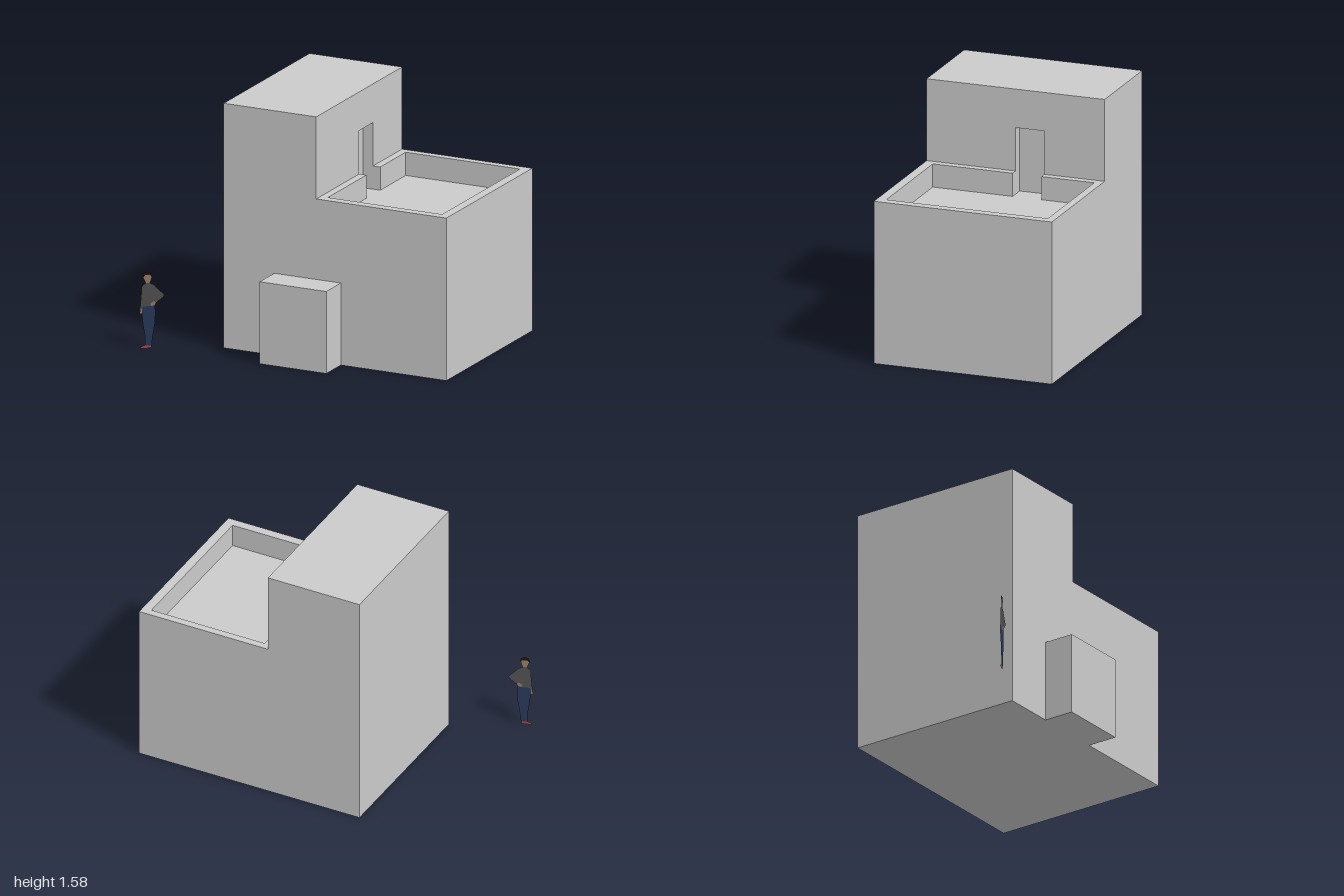
import * as THREE from 'three';

const grey = new THREE.MeshStandardMaterial({ color: 0xcccccc });

// Box given by its minimum and maximum corners
function block(name, [x0, y0, z0], [x1, y1, z1]) {
  const geometry = new THREE.BoxGeometry(x1 - x0, y1 - y0, z1 - z0);
  geometry.translate((x0 + x1) / 2, (y0 + y1) / 2, (z0 + z1) / 2);
  const mesh = new THREE.Mesh(geometry, grey);
  mesh.name = name;
  return mesh;
}

const shapeOf = (points) => new THREE.Shape(points.map(([a, b]) => new THREE.Vector2(a, b)));
const extrude = (points, depth) =>
  new THREE.ExtrudeGeometry(shapeOf(points), { depth, bevelEnabled: false });

// Flat figure for scale: outlines in hundredths of a unit, x from its edge and y from the ground
function createFigure() {
  const figure = new THREE.Group();
  figure.name = 'scaleFigure';
  const parts = [
    ['hair', 0x1c1512, [[2, 45.5], [2, 48], [3.4, 49.4], [5.8, 49.4], [7, 48], [6.9, 45.8], [6.2, 47.3], [3.2, 47.3]]],
    ['face', 0x9a7a62, [[2, 45.5], [3.2, 47.3], [6.2, 47.3], [6.9, 45.8], [6.4, 43.8], [5.8, 42.2], [3.4, 42.2], [2.6, 44]]],
    ['sweater', 0x505050, [[3.4, 42.2], [5.8, 42.2], [8.2, 41.2], [10.2, 38.8], [14, 35], [13.4, 33.4],
      [9.4, 29.6], [8, 30.6], [6, 28.8], [6.6, 27.4], [1.8, 27], [1.2, 25.5], [0.2, 26], [0.8, 33], [1.2, 40]]],
    ['hipHand', 0x9a7a62, [[8, 30.6], [9.4, 29.6], [8.6, 28], [6.6, 27.4], [6, 28.8]]],
    ['hangingHand', 0x9a7a62, [[0.2, 26], [1.2, 25.5], [1.2, 22.5], [0.5, 21.5], [0, 23]]],
    ['trousers', 0x27375a, [[1.8, 27], [6.6, 27.4], [8.6, 28], [9, 24], [8.6, 16], [7.4, 8], [6.8, 2],
      [3, 2], [3, 8], [1.8, 16], [1.2, 22.5], [1.2, 25.5]]],
    ['shoes', 0xa04a45, [[3, 2], [6.8, 2], [6.4, 0.4], [3.6, 0], [0.4, 0], [0.5, 1]]],
  ];
  for (const [name, color, points] of parts) {
    const geometry = new THREE.ShapeGeometry(shapeOf(points));
    geometry.scale(0.01, 0.01, 1);
    const material = new THREE.MeshStandardMaterial({ color, side: THREE.DoubleSide });
    const mesh = new THREE.Mesh(geometry, material);
    mesh.name = name;
    figure.add(mesh);
  }
  const turn = Math.atan(0.43);
  figure.rotation.y = turn;
  figure.scale.x = 1 / Math.cos(turn);
  figure.position.set(-1, 0, 0.71);
  return figure;
}

export function createModel() {
  const model = new THREE.Group();
  model.name = 'house';
  const left = 1, right = -0.54, front = 0.47, back = -0.71;
  const wall = 0.1, recess = 0.03;            // tower face and back of its doorway
  const floor = 0.9, rim = 1.05, roof = 1.58; // terrace floor, parapet top, tower top
  const doorFront = -0.12, doorBack = -0.31, doorTop = 1.33;

  // Main volume, tower and porch
  model.add(block('lowerStorey', [right, 0, back], [left, floor, front]));
  model.add(block('tower', [right, floor, back], [recess, roof, front]));
  model.add(block('entrancePorch', [-0.19, 0, front], [0.27, 0.53, 0.67]));

  // Tower wall with the doorway notched out, drawn in (-z, y)
  const towerWall = new THREE.Mesh(extrude([
    [-front, floor], [-doorFront, floor], [-doorFront, doorTop], [-doorBack, doorTop],
    [-doorBack, floor], [-back, floor], [-back, roof], [-front, roof],
  ], wall - recess), grey);
  towerWall.geometry.rotateY(Math.PI / 2).translate(recess, 0, 0);
  towerWall.name = 'towerDoorWall';
  model.add(towerWall);

  // Parapet around the terrace, open at the doorway, drawn in (x, -z)
  const parapet = new THREE.Mesh(extrude([
    [wall, doorBack], [wall, back], [left, back], [left, front], [wall, front], [wall, doorFront],
    [0.15, doorFront], [0.15, 0.41], [0.94, 0.41], [0.94, -0.66], [0.15, -0.66], [0.15, doorBack],
  ].map(([x, z]) => [x, -z]), rim - floor), grey);
  parapet.geometry.rotateX(-Math.PI / 2).translate(0, floor, 0);
  parapet.name = 'terraceParapet';
  model.add(parapet);

  model.add(createFigure());
  return model;
}
